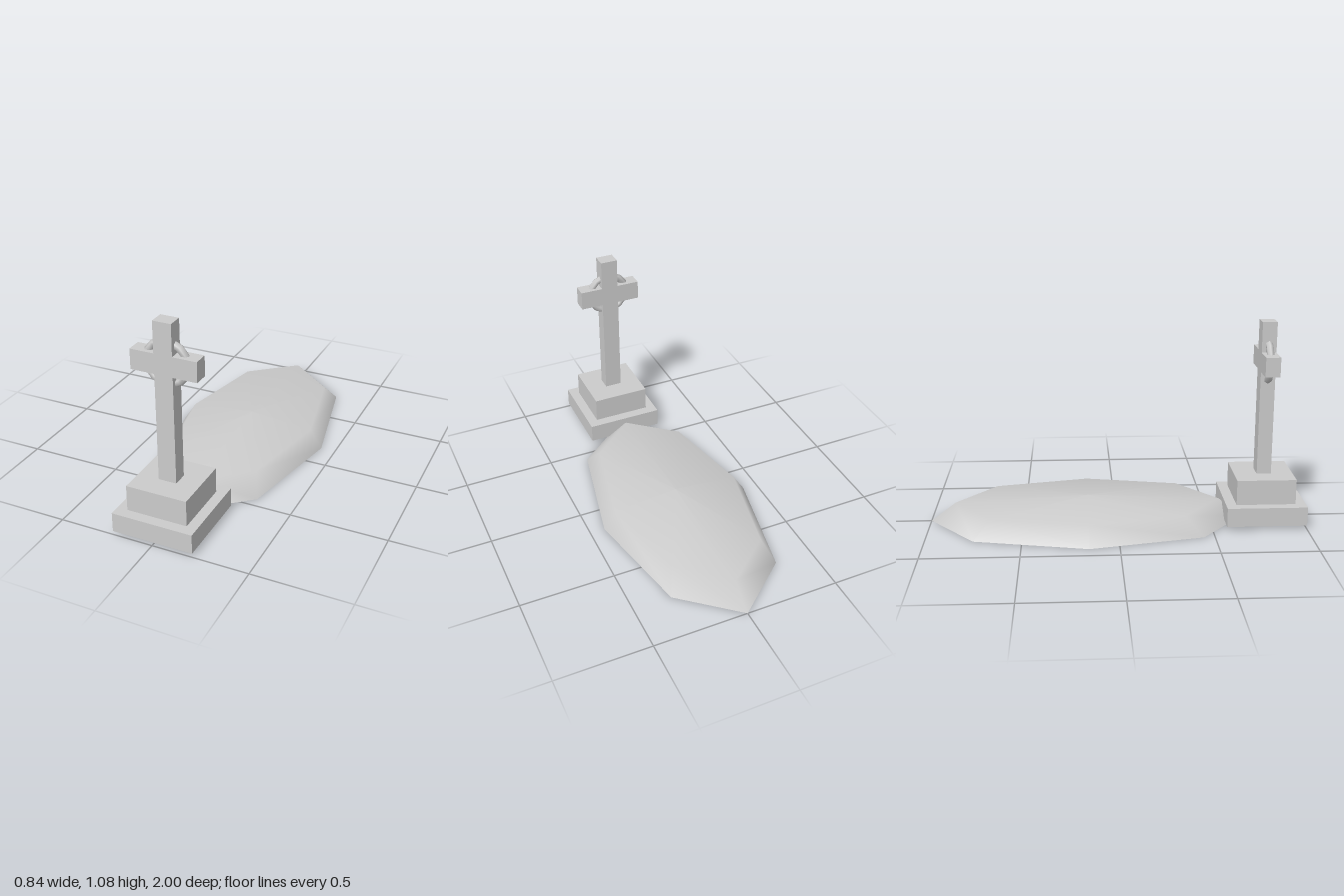
import * as THREE from 'three';

const material = new THREE.MeshStandardMaterial({ color: 0xcccccc });

export function createModel() {
  const group = new THREE.Group();
  group.name = 'graveWithCross';

  const add = (name, geometry, x = 0, y = 0, z = 0, parent = group) => {
    const mesh = new THREE.Mesh(geometry, material);
    mesh.name = name;
    mesh.position.set(x, y, z);
    parent.add(mesh);
    return mesh;
  };
  // Box given by its width, bottom, top and z range
  const slab = (name, width, y0, y1, z0, z1, parent) =>
    add(name, new THREE.BoxGeometry(width, y1 - y0, z1 - z0), 0, (y0 + y1) / 2, (z0 + z1) / 2, parent);

  // Burial mound: stretched eight-sided dome with sloping sides
  const profile = [[1, 0], [0.843, 0.102], [0, 0.135]].map(([r, y]) => new THREE.Vector2(r, y));
  const mound = new THREE.Group();
  mound.name = 'mound';
  mound.position.z = -0.155;
  group.add(mound);
  add('moundTop', new THREE.LatheGeometry(profile, 8).scale(0.42, 1, 0.845), 0, 0, 0, mound);
  add('moundUnderside', new THREE.CircleGeometry(1, 8).rotateX(Math.PI / 2).scale(0.42, 1, 0.845), 0, 0, 0, mound);

  // Stepped plinth
  slab('lowerStep', 0.424, 0.02, 0.122, 0.575, 1);
  slab('upperStep', 0.317, 0.122, 0.257, 0.63, 0.945);

  // Cross with a faceted ring around the crossing
  const cross = new THREE.Group();
  cross.name = 'cross';
  group.add(cross);
  slab('shaft', 0.094, 0.257, 1.08, 0.752, 0.829, cross);
  slab('arms', 0.34, 0.817, 0.92, 0.752, 0.829, cross);
  add('ring', new THREE.TorusGeometry(0.106, 0.02, 6, 14), 0, 0.868, 0.79, cross);

  return group;
}
